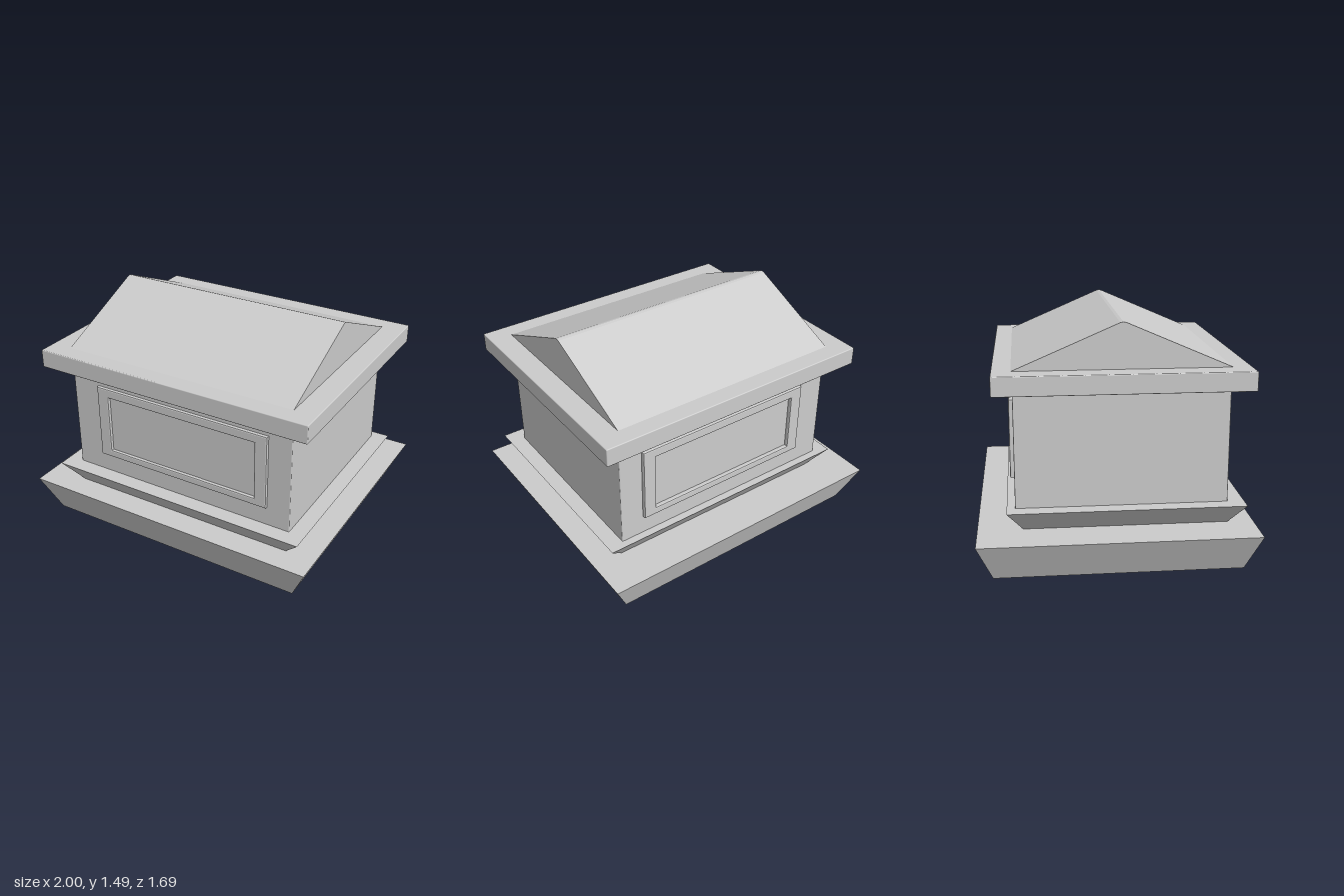
import * as THREE from 'three';
import { RoundedBoxGeometry } from 'three/addons/geometries/RoundedBoxGeometry.js';

const material = new THREE.MeshStandardMaterial({ color: 0xcccccc });
const shellMaterial = new THREE.MeshStandardMaterial({ color: 0xcccccc, side: THREE.DoubleSide });

function addMesh(parent, name, geometry, mat = material) {
  const mesh = new THREE.Mesh(geometry, mat);
  mesh.name = name;
  parent.add(mesh);
  return mesh;
}

// Box with slightly softened edges, given by its limits on each axis
function softBox([x0, x1], [y0, y1], [z0, z1]) {
  const g = new RoundedBoxGeometry(x1 - x0, y1 - y0, z1 - z0, 2, 0.006);
  return g.translate((x0 + x1) / 2, (y0 + y1) / 2, (z0 + z1) / 2);
}

// Flared slab: bottom and top rectangles given as [x0, x1, z0, z1]
function flaredSlab(bottom, top, y0, y1) {
  const g = new THREE.BoxGeometry(1, 1, 1);
  const p = g.attributes.position;
  for (let i = 0; i < p.count; i++) {
    const isTop = p.getY(i) > 0;
    const r = isTop ? top : bottom;
    p.setXYZ(i, p.getX(i) < 0 ? r[0] : r[1], isTop ? y1 : y0, p.getZ(i) < 0 ? r[2] : r[3]);
  }
  g.computeVertexNormals();
  return g;
}

// Removes the underside of a slab
function openBelow(g) {
  const faces = Array.from(g.index.array);
  faces.splice(18, 6);
  g.setIndex(faces);
  g.clearGroups();
  return g;
}

function rectangle(path, w, h, y = 0) {
  path.moveTo(-w / 2, y - h / 2);
  path.lineTo(w / 2, y - h / 2);
  path.lineTo(w / 2, y + h / 2);
  path.lineTo(-w / 2, y + h / 2);
  path.closePath();
  return path;
}

// Raised rectangular moulding with rounded edges, its front at z = 0
function panelFrame() {
  const bevel = 0.008;
  const shape = rectangle(new THREE.Shape(), 1.215, 0.494);
  shape.holes.push(rectangle(new THREE.Path(), 1.05, 0.386, -0.006));
  const g = new THREE.ExtrudeGeometry(shape, {
    depth: 0.03, bevelEnabled: true, bevelThickness: bevel,
    bevelSize: bevel, bevelOffset: -bevel, bevelSegments: 2,
  });
  return g.translate(0, 0, -0.03 - bevel);
}

// Gabled roof: profile across z, extruded along x, with a blunted ridge
function gableRoof() {
  const profile = new THREE.Shape();
  profile.moveTo(-0.687, 1.2);
  profile.lineTo(0.687, 1.2);
  profile.lineTo(0.018, 1.488);
  profile.lineTo(0, 1.492);
  profile.lineTo(-0.018, 1.488);
  profile.closePath();
  const g = new THREE.ExtrudeGeometry(profile, { depth: 1.568, bevelEnabled: false });
  return g.rotateY(Math.PI / 2).translate(-0.753, 0, 0.03);
}

export function createModel() {
  const model = new THREE.Group();
  model.name = 'gabledChest';

  // Flared base, a thin shell open below
  const base = flaredSlab([-0.89, 0.89, -0.753, 0.757], [-1, 1, -0.845, 0.845], 0, 0.24);
  addMesh(model, 'base', openBelow(base), shellMaterial);
  addMesh(model, 'plinth', flaredSlab([-0.73, 0.802, -0.57, 0.685], [-0.845, 0.917, -0.665, 0.778], 0.24, 0.38));

  // Walls and cornice
  addMesh(model, 'body', softBox([-0.748, 0.814], [0.37, 1.11], [-0.615, 0.676]));
  addMesh(model, 'cornice', softBox([-0.892, 0.959], [1.098, 1.216], [-0.734, 0.796]));

  // Framed panels on the front and back
  const frame = panelFrame();
  addMesh(model, 'frontPanelFrame', frame).position.set(0.055, 0.753, 0.697);
  const back = addMesh(model, 'backPanelFrame', frame);
  back.position.set(0.055, 0.753, -0.642);
  back.rotation.y = Math.PI;

  addMesh(model, 'roof', gableRoof());
  return model;
}
